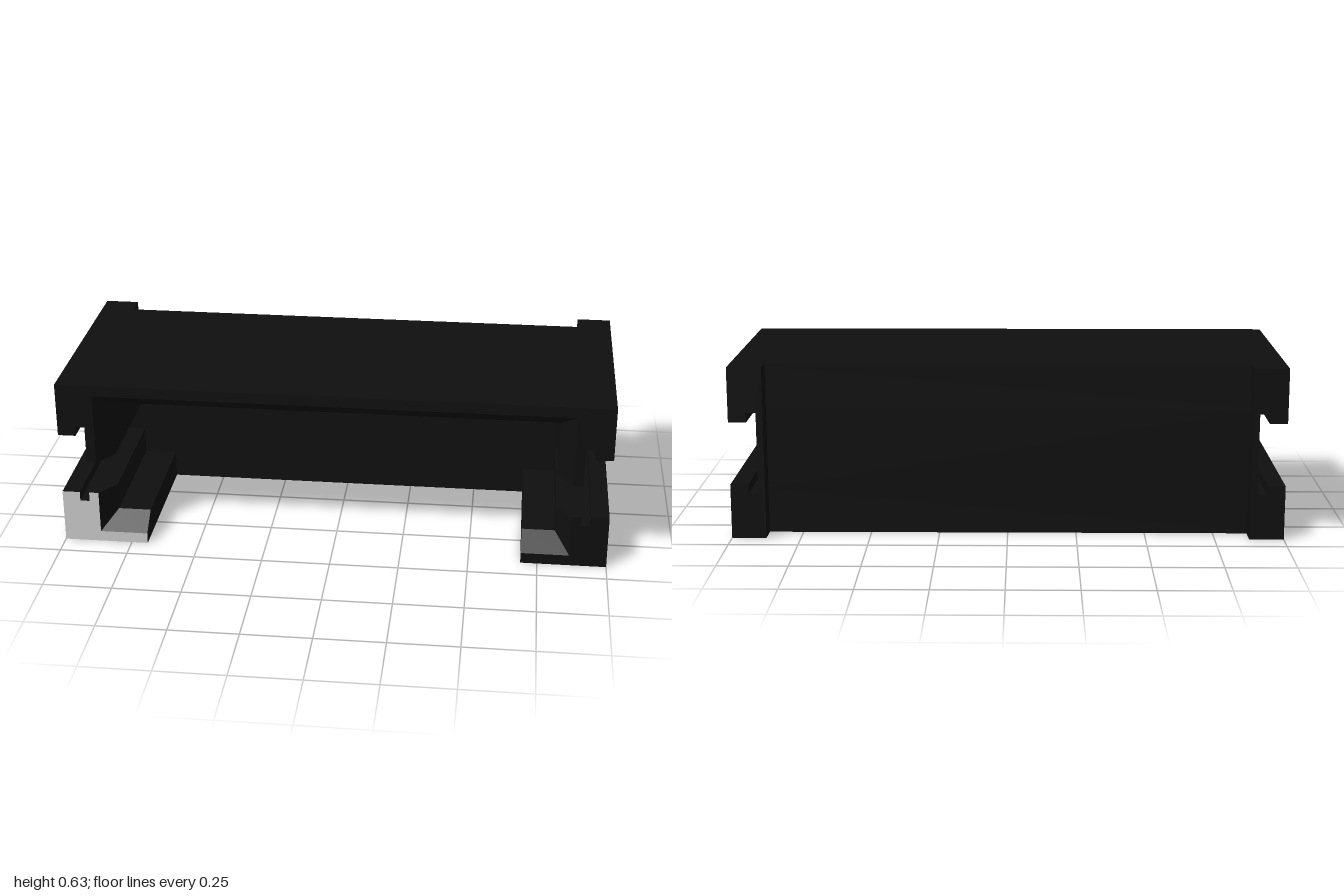
import * as THREE from 'three';

const black = new THREE.MeshStandardMaterial({ color: 0x0f0f0f });
const grey = new THREE.MeshStandardMaterial({ color: 0xcccccc });

// z stations: back posts, back panel, cavity floor, start of lead-in, front
const BACK = -0.415, PANEL = -0.335, CAVITY = -0.145, LEAD = 0.34, FRONT = 0.415;
// cavity sizes: wide at the mouth, tight inside
const MOUTH = { x: 0.865, top: 0.59, floor: 0.04 };
const INNER = { x: 0.81, top: 0.535, floor: 0.1 };

// undercut slot that runs along each side, from top to bottom
const slotTop = [[1, 0.43], [0.935, 0.43], [0.935, 0.465], [0.9, 0.465]];
const slotBottom = [[0.9, 0.165], [0.935, 0.165], [0.935, 0.2], [1, 0.2]];

const mirror = (pts) => pts.map(([x, y]) => [-x, y]).reverse();
const symmetric = (half) => [...half, ...mirror(half)];

const hoodProfile = (c) => symmetric(
  [[1, 0.63], ...slotTop, [0.9, 0.325], [c.x, 0.325], [c.x, c.top]]);
const railProfile = (c) => [
  [0.69, 0], [0.69, c.floor], [c.x, c.floor], [c.x, 0.2], [0.9, 0.2],
  ...slotBottom, [1, 0]];
const bodyProfile = symmetric([[1, 0.63], ...slotTop, ...slotBottom, [1, 0]]);
const postProfile = [
  [0.875, 0.63], [1, 0.63], ...slotTop, ...slotBottom, [1, 0], [0.875, 0]];

function prism(points, z0, z1) {
  const shape = new THREE.Shape(points.map(([x, y]) => new THREE.Vector2(x, y)));
  const geo = new THREE.ExtrudeGeometry(shape, { depth: z1 - z0, bevelEnabled: false });
  return geo.translate(0, 0, z0);
}

// bevelled mouth: the back end of the prism narrows to the inner cavity size
function leadIn(points) {
  const geo = prism(points, LEAD, FRONT);
  const p = geo.attributes.position;
  const near = (a, b) => Math.abs(a - b) < 1e-4;
  for (let i = 0; i < p.count; i++) {
    if (!near(p.getZ(i), LEAD)) continue;
    const x = p.getX(i), y = p.getY(i);
    if (near(Math.abs(x), MOUTH.x)) p.setX(i, Math.sign(x) * INNER.x);
    if (near(y, MOUTH.top)) p.setY(i, INNER.top);
    if (near(y, MOUTH.floor)) p.setY(i, INNER.floor);
  }
  geo.computeVertexNormals();
  return geo;
}

export function createModel() {
  const group = new THREE.Group();
  const add = (name, geo, material = black) => {
    const mesh = new THREE.Mesh(geo, material);
    mesh.name = name;
    group.add(mesh);
  };

  add('backBody', prism(bodyProfile, PANEL, CAVITY));
  add('upperHood', prism(hoodProfile(INNER), CAVITY, LEAD));
  add('upperHoodMouth', leadIn(hoodProfile(MOUTH)));

  // lower rails and rear posts on both sides
  for (const [side, s] of [['left', 1], ['right', -1]]) {
    const flip = (pts) => (s > 0 ? pts : mirror(pts));
    add(side + 'Rail', prism(flip(railProfile(INNER)), CAVITY, LEAD));
    // the right rail has a bare grey end face
    add(side + 'RailMouth', leadIn(flip(railProfile(MOUTH))), [s > 0 ? black : grey, black]);
    add(side + 'RearPost', prism(flip(postProfile), BACK, PANEL));
  }
  return group;
}
